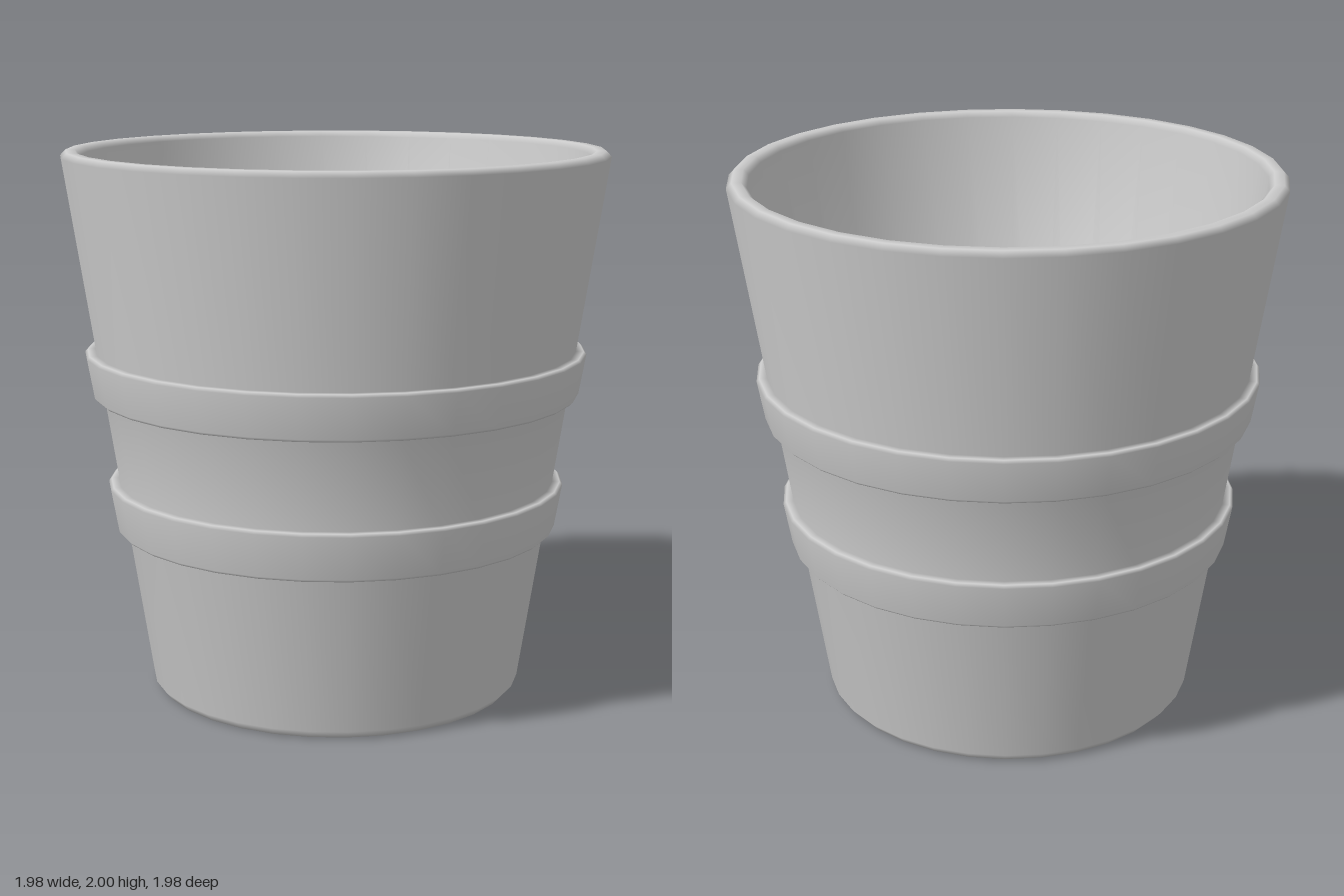
import * as THREE from 'three';

// Outer wall radius of the tapered cup at height y
const wall = (y) => 0.686 + 0.154 * y;

// Profile of a raised, slightly bevelled band between two heights
function band(y0, y1) {
  const out = 0.038, b = 0.01;
  return [
    [wall(y0), y0],
    [wall(y0) + out - b, y0],
    [wall(y0) + out, y0 + b],
    [wall(y1) + out, y1 - b],
    [wall(y1) + out - b, y1],
    [wall(y1), y1],
  ];
}

export function createModel() {
  const model = new THREE.Group();
  const thickness = 0.072, floorY = 0.08;

  // Closed section: underside, outer wall with two bands, rim, inner wall, floor
  const profile = [
    [0, 0],
    [0.665, 0],
    [wall(0.03), 0.03],
    ...band(0.61, 0.785),
    ...band(1.11, 1.275),
    [wall(1.98), 1.98],
    [0.972, 2],
    [0.938, 2],
    [wall(1.98) - thickness, 1.98],
    [wall(floorY) - thickness, floorY],
    [0, floorY],
  ].map(([r, y]) => new THREE.Vector2(r, y));

  const cup = new THREE.Mesh(
    new THREE.LatheGeometry(profile, 32),
    new THREE.MeshStandardMaterial({ color: 0xcccccc })
  );
  cup.name = 'bandedCup';
  model.add(cup);
  return model;
}
